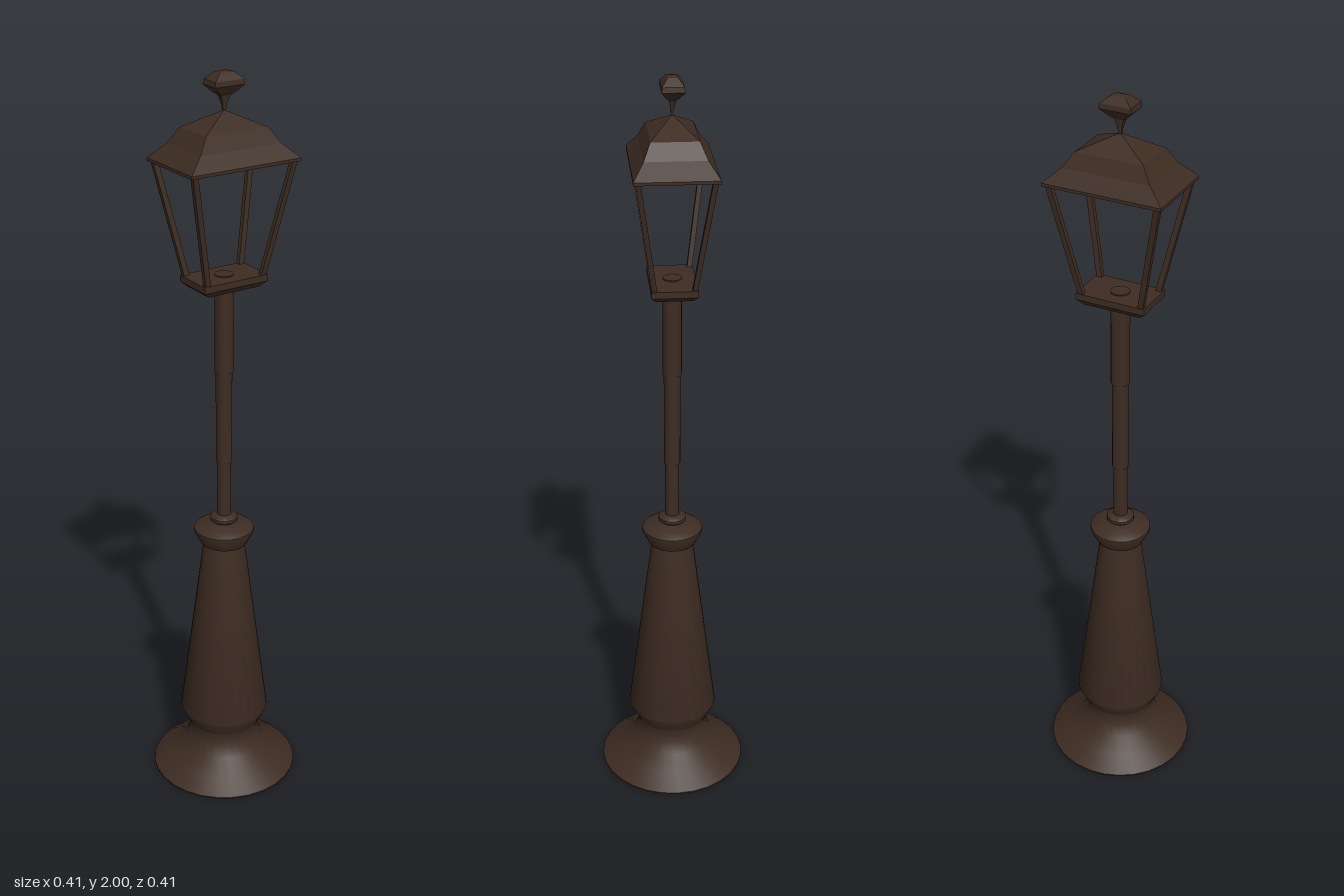
import * as THREE from 'three';
import { toCreasedNormals } from 'three/addons/utils/BufferGeometryUtils.js';

const iron = new THREE.MeshStandardMaterial({ color: 0x3d2c22 });

export function createModel() {
  const group = new THREE.Group();

  const add = (name, geometry, crease = 0.5) => {
    const mesh = new THREE.Mesh(toCreasedNormals(geometry, crease), iron);
    mesh.name = name;
    group.add(mesh);
  };
  const toPoints = (profile, k = 1) => profile.map(([r, y]) => new THREE.Vector2(r * k, y));

  // Round turned part from [radius, y] points, bottom to top
  const turned = (name, profile, sides = 28) =>
    add(name, new THREE.LatheGeometry(toPoints(profile), sides), 0.6);

  // Rectangular part from [half width, y] points; depth is a fraction of the width
  const rectangular = (name, profile, depth) => {
    const geometry = new THREE.LatheGeometry(toPoints(profile, Math.SQRT2), 4, Math.PI / 4);
    geometry.scale(1, 1, depth);
    add(name, geometry, 0.1);
  };

  // Flared foot and tapering pedestal
  turned('foot', [
    [0, 0], [0.203, 0], [0.203, 0.004], [0.155, 0.04], [0.115, 0.073],
    [0.1, 0.105], [0.096, 0.125], [0.1, 0.145],
  ]);
  turned('pedestal', [[0.1, 0.145], [0.123, 0.19], [0.056, 0.72]]);
  turned('collar', [
    [0.05, 0.715], [0.064, 0.72], [0.082, 0.755], [0.082, 0.764], [0.064, 0.776],
    [0.03, 0.782], [0.037, 0.788], [0.037, 0.797], [0.03, 0.803], [0.018, 0.805],
  ]);

  // Pole in three steps, widening upwards
  turned('pole', [
    [0.019, 0.78], [0.019, 0.96], [0.022, 0.96], [0.022, 1.22],
    [0.025, 1.22], [0.025, 1.488], [0, 1.488],
  ], 16);

  // Lantern tray
  rectangular('lanternTray', [
    [0, 1.453], [0.077, 1.453], [0.095, 1.468], [0.095, 1.485], [0, 1.485],
  ], 0.62);

  // Four slanted corner bars
  for (const sx of [-1, 1]) {
    for (const sz of [-1, 1]) {
      const bar = new THREE.BoxGeometry(0.015, 0.31, 0.013);
      const p = bar.attributes.position;
      for (let i = 0; i < p.count; i++) {
        const t = p.getY(i) / 0.31 + 0.5;
        p.setXYZ(
          i,
          p.getX(i) + sx * (0.082 + 0.064 * t),
          p.getY(i) + 1.635,
          p.getZ(i) + sz * (0.05 + 0.044 * t),
        );
      }
      add('cornerBar', bar, 0.3);
    }
  }

  // Hollow hipped roof: inside from the apex down, then outside back up
  rectangular('roof', [
    [0, 1.885], [0.082, 1.848], [0.108, 1.812], [0.147, 1.778],
    [0.158, 1.778], [0.158, 1.786], [0.117, 1.823], [0.09, 1.862], [0, 1.904],
  ], 0.66);

  // Finial
  rectangular('finial', [
    [0.003, 1.895], [0.006, 1.918], [0.013, 1.94], [0.024, 1.948], [0.043, 1.966],
    [0.041, 1.979], [0.02, 1.996], [0, 2],
  ], 0.66);

  return group;
}
